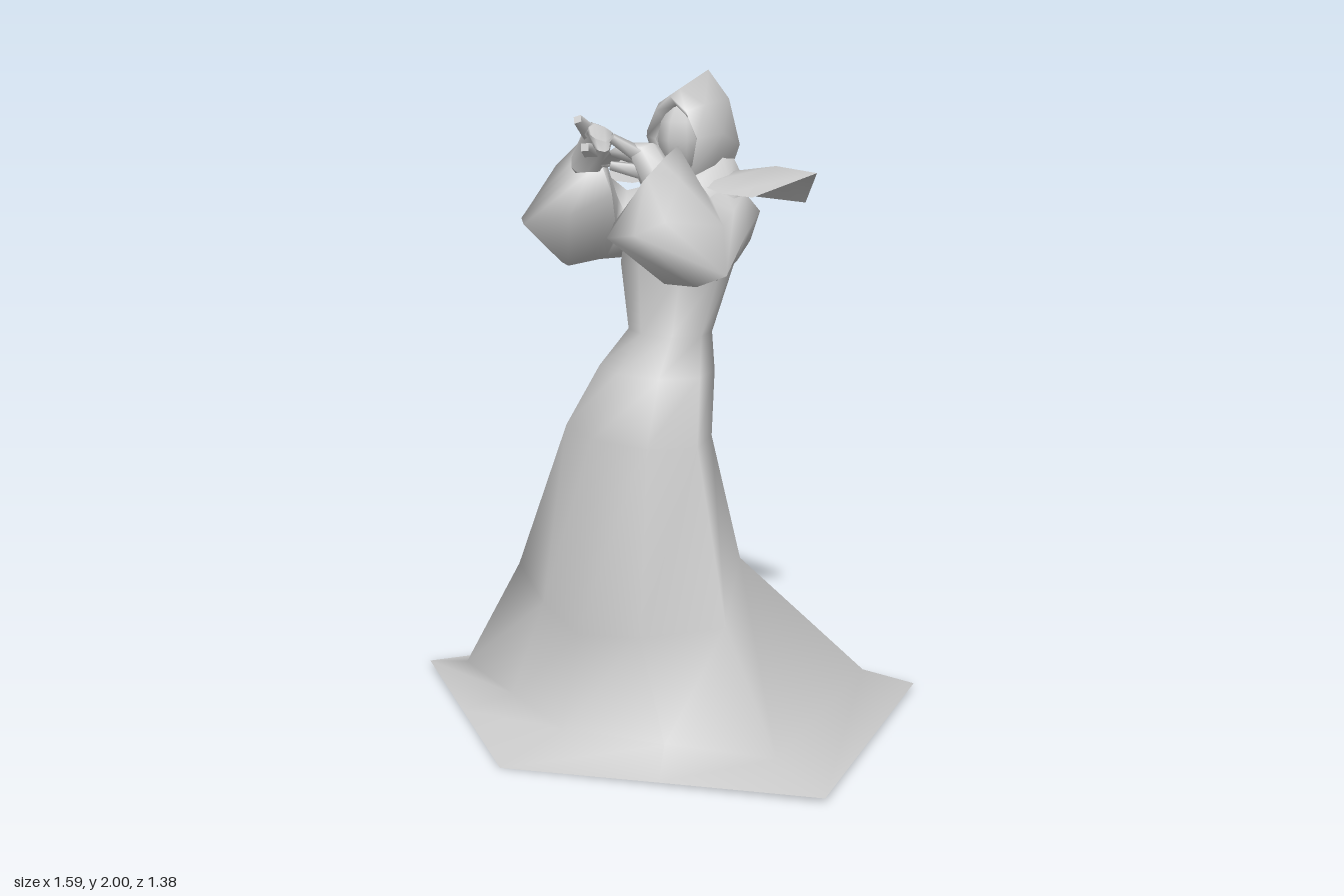
import * as THREE from 'three';

const material = new THREE.MeshStandardMaterial({ color: 0xcccccc, side: THREE.DoubleSide });
const V = (p) => new THREE.Vector3(...p);

// Skin a list of equal-length closed rings with smooth normals
function loft(name, rings, capEnd = false) {
  const n = rings[0].length, pos = [], index = [];
  rings.forEach((r) => r.forEach((p) => pos.push(p.x, p.y, p.z)));
  for (let i = 0; i < rings.length - 1; i++) {
    for (let j = 0; j < n; j++) {
      const a = i * n + j, b = i * n + (j + 1) % n;
      index.push(a, b, b + n, a, b + n, a + n);
    }
  }
  if (capEnd) {
    const last = rings[rings.length - 1], base = (rings.length - 1) * n;
    const c = last.reduce((s, p) => s.add(p), new THREE.Vector3()).divideScalar(n);
    pos.push(c.x, c.y, c.z);
    for (let j = 0; j < n; j++) index.push(base + j, base + (j + 1) % n, base + n);
  }
  return surface(name, pos, index);
}

function surface(name, pos, index) {
  const g = new THREE.BufferGeometry();
  g.setAttribute('position', new THREE.Float32BufferAttribute(pos, 3));
  g.setIndex(index);
  g.computeVertexNormals();
  const mesh = new THREE.Mesh(g, material);
  mesh.name = name;
  return mesh;
}

// Eight-sided ring through four control points
function ring(points) {
  const curve = new THREE.CatmullRomCurve3(points.map(V), true);
  return Array.from({ length: 8 }, (_, i) => curve.getPoint(i / 8));
}

// Horizontal ellipse: right, front, left, back
function ellipse(y, cx, cz, rx, rz) {
  return Array.from({ length: 8 }, (_, i) => {
    const a = Math.PI - (i / 8) * Math.PI * 2;
    return new THREE.Vector3(cx + rx * Math.cos(a), y, cz + rz * Math.sin(a));
  });
}

// Robe: flat flared hem, trailing skirt, narrow waist, torso leaning back
function makeRobe() {
  const hem = [[-0.8, 0.015, 0.42], [-0.395, 0.008, 0.555], [0.01, 0, 0.69], [0.4, 0.008, 0.405],
    [0.79, 0.015, 0.12], [0.4, 0.015, -0.69], [-0.02, 0.015, -0.545], [-0.48, 0.015, -0.43]];
  const flare = [[-0.6, 0.07, 0.4], [-0.3, 0.06, 0.425], [0, 0.05, 0.45], [0.3, 0.06, 0.3],
    [0.6, 0.07, 0.13], [0.3, 0.07, -0.55], [-0.02, 0.07, -0.42], [-0.36, 0.07, -0.32]];
  const knee = [[-0.37, 0.46, 0.34], [-0.2, 0.38, 0.37], [0, 0.34, 0.39], [0.2, 0.37, 0.31],
    [0.38, 0.41, 0.13], [0.2, 0.53, -0.09], [-0.02, 0.53, -0.08], [-0.22, 0.53, -0.06]];
  return loft('robe', [
    hem.map(V), flare.map(V), knee.map(V),
    ellipse(0.93, -0.025, 0.13, 0.275, 0.18),
    ellipse(1.11, -0.04, 0.043, 0.2, 0.158),
    ellipse(1.22, -0.045, -0.015, 0.145, 0.115),
    ellipse(1.42, -0.055, -0.05, 0.2, 0.15),
    ellipse(1.58, -0.055, -0.1, 0.22, 0.16),
    ellipse(1.67, -0.055, -0.12, 0.17, 0.14),
    ellipse(1.75, -0.05, -0.13, 0.11, 0.1),
  ], true);
}

// Pointed hood turned slightly to the left, with a face in its opening
function makeHead() {
  const head = new THREE.Group();
  head.name = 'head';
  const hoop = (top, w, sy, sz, bottom) =>
    ring([[0, ...top], [-w, sy, sz], [0, ...bottom], [w, sy, sz]]);
  head.add(loft('hood', [
    hoop([1.9, 0.1], 0.07, 1.8, 0.1, [1.68, 0.07]),
    hoop([1.93, 0.14], 0.085, 1.81, 0.13, [1.63, 0.1]),
    hoop([1.95, 0.08], 0.13, 1.82, 0.05, [1.6, 0.02]),
    hoop([2.0, -0.1], 0.125, 1.78, -0.07, [1.61, -0.1]),
    hoop([1.92, -0.13], 0.07, 1.77, -0.14, [1.64, -0.13]),
  ], true));
  const face = new THREE.Mesh(new THREE.SphereGeometry(1, 8, 6), material);
  face.name = 'face';
  face.scale.set(0.07, 0.11, 0.085);
  face.position.set(0, 1.8, 0.065);
  head.add(face);
  head.position.set(-0.04, 0, -0.1);
  head.rotation.y = 0.36;
  return head;
}

// Left arm, measured outward from the body's centre line
function makeArm(name, handLift) {
  const arm = new THREE.Group();
  arm.name = name;
  // Bell sleeve gathered at the wrist; each ring runs top, outside, bottom, inside
  arm.add(loft('sleeve', [
    ring([[0.1, 1.67, -0.14], [0.16, 1.58, -0.25], [0.13, 1.43, -0.15], [0.06, 1.55, -0.02]]),
    ring([[0.2, 1.63, -0.02], [0.34, 1.55, -0.03], [0.28, 1.41, 0.03], [0.13, 1.49, 0.08]]),
    ring([[0.22, 1.68, 0.04], [0.385, 1.44, 0.09], [0.23, 1.41, 0.19], [0.09, 1.52, 0.11]]),
    ring([[0.22, 1.8, 0.13], [0.32, 1.6, 0.26], [0.2, 1.555, 0.375], [0.06, 1.64, 0.15]]),
    ring([[0.18, 1.77, 0.14], [0.19, 1.73, 0.2], [0.16, 1.7, 0.21], [0.12, 1.72, 0.14]]),
  ]));
  // Forearm bending over into a flat hand
  const boxRing = (x, y, z, a, b) => ring([
    [x + a, y + a, z], [x, y, z + b], [x - a, y - a, z], [x, y, z - b]]);
  const hand = new THREE.Group();
  hand.name = 'hand';
  hand.add(loft('forearm', [
    boxRing(0.18, 1.7, 0.15, 0.045, 0.06),
    boxRing(0.11, 1.8, 0.16, 0.035, 0.055),
    boxRing(0.05, 1.81, 0.2, 0.025, 0.045),
    boxRing(0.015, 1.77, 0.22, 0.012, 0.03),
  ], true));
  // Thumb and raised finger
  [[[0.12, 1.79, 0.17], [0.08, 1.85, 0.26]], [[0.13, 1.75, 0.17], [0.06, 1.77, 0.25]]].forEach(([a, b]) => {
    const from = V(a), dir = V(b).sub(from);
    const finger = new THREE.Mesh(new THREE.CylinderGeometry(0.016, 0.03, dir.length(), 4), material);
    finger.name = 'finger';
    finger.position.copy(from).addScaledVector(dir, 0.5);
    finger.quaternion.setFromUnitVectors(new THREE.Vector3(0, 1, 0), dir.normalize());
    hand.add(finger);
  });
  hand.position.y = handLift;
  arm.add(hand);
  return arm;
}

// Thin pointed shoulder flap: raised crease, drooping front and back edges
function makeFlap() {
  const pos = [
    0.1, 1.67, -0.05, 0.1, 1.7, -0.17, 0.1, 1.62, -0.265,
    0.21, 1.65, -0.05, 0.3, 1.73, -0.18, 0.28, 1.62, -0.265,
    0.34, 1.65, -0.05, 0.46, 1.72, -0.19, 0.34, 1.62, -0.265,
  ];
  const index = [];
  [0, 1, 3, 4].forEach((i) => index.push(i, i + 3, i + 4, i, i + 4, i + 1));
  return surface('shoulderFlap', pos, index);
}

export function createModel() {
  const model = new THREE.Group();
  model.name = 'robedFigure';
  model.add(makeRobe(), makeHead());
  [['left', 1, -0.03], ['right', -1, 0.015]].forEach(([name, side, lift]) => {
    const half = new THREE.Group();
    half.name = name + 'Side';
    half.add(makeArm(name + 'Arm', lift), makeFlap());
    half.scale.x = side;
    half.position.x = -0.058;
    model.add(half);
  });
  return model;
}
